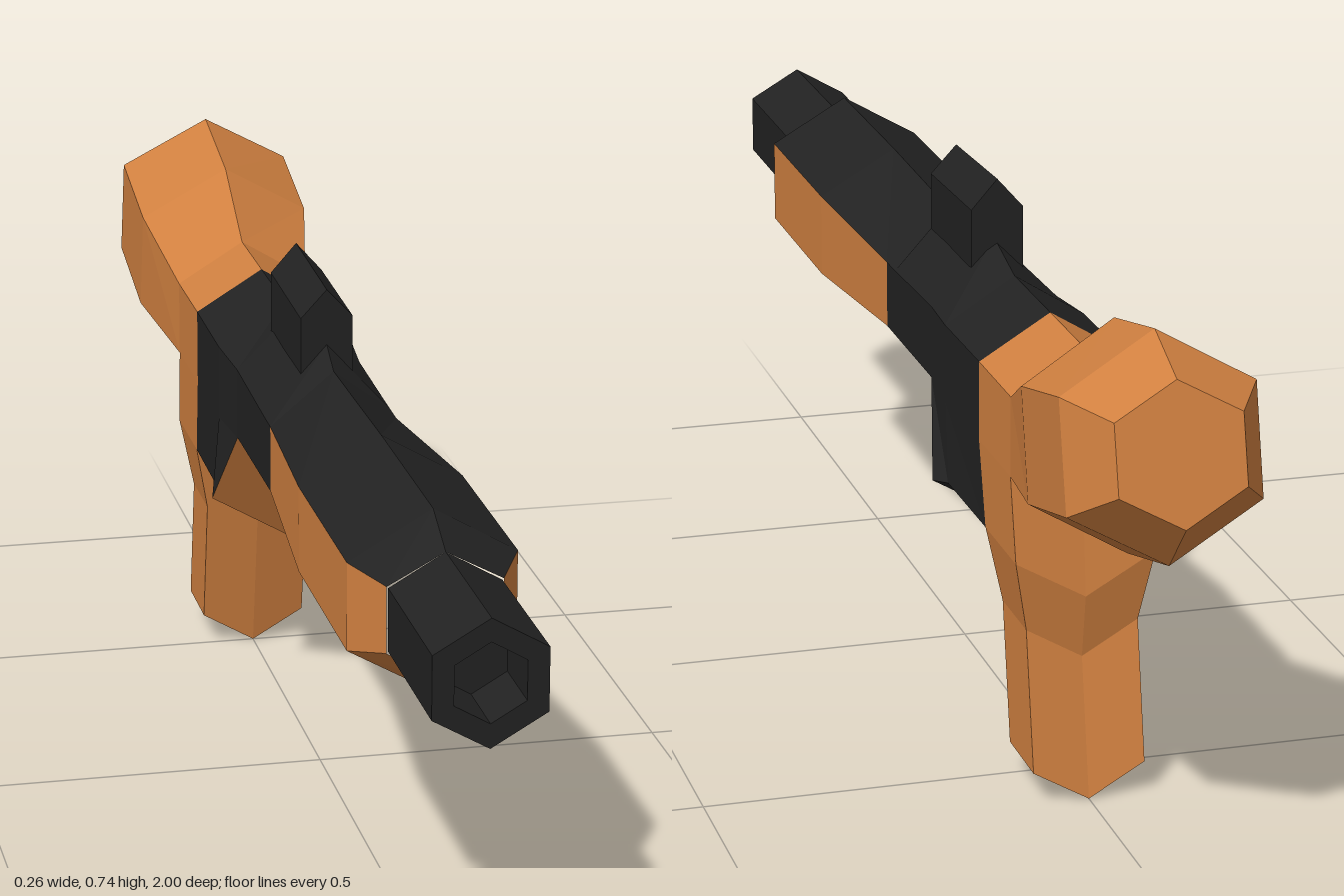
import * as THREE from 'three';

const material = (color) => new THREE.MeshStandardMaterial({ color, flatShading: true });
const black = material(0x222222);
const orange = material(0xd08040);

// Flat-shaded mesh from a list of quads (four corners, counter-clockwise)
function quadMesh(name, quads, mat) {
  const pos = [];
  for (const [a, b, c, d] of quads) pos.push(...a, ...b, ...c, ...a, ...c, ...d);
  const geo = new THREE.BufferGeometry();
  geo.setAttribute('position', new THREE.Float32BufferAttribute(pos, 3));
  geo.computeVertexNormals();
  const mesh = new THREE.Mesh(geo, mat);
  mesh.name = name;
  return mesh;
}

// Six-sided section with a point at top and bottom, tilted from zTop to zBottom
function hex(zTop, zBottom, yTop, yUpper, yLower, yBottom, w, wLower = w) {
  const z = (y) => zTop + ((zBottom - zTop) * (yTop - y)) / (yTop - yBottom);
  return [[0, yTop], [w, yUpper], [wLower, yLower], [0, yBottom], [-wLower, yLower], [-w, yUpper]]
    .map(([x, y]) => [x, y, z(y)]);
}

// Skin through sections ordered front to back; faces 0 and 5 are the top slopes
function loft(sections, faces = [0, 1, 2, 3, 4, 5], caps = true) {
  const quads = [];
  for (let i = 0; i + 1 < sections.length; i++) {
    for (const j of faces) {
      const k = (j + 1) % 6;
      quads.push([sections[i][j], sections[i][k], sections[i + 1][k], sections[i + 1][j]]);
    }
  }
  if (caps) {
    const f = sections[0], b = sections[sections.length - 1];
    quads.push([f[0], f[5], f[4], f[3]], [f[0], f[3], f[2], f[1]]);
    quads.push([b[0], b[1], b[2], b[3]], [b[0], b[3], b[4], b[5]]);
  }
  return quads;
}

// Downward extension with a V-shaped underside; each ring lists [z, w, ySide, yKeel] front to back
function keel(rings) {
  const front = [], rest = [];
  const p = ([z, w, ySide, yKeel], s) => (s ? [s * w, ySide, z] : [0, yKeel, z]);
  for (const s of [1, -1]) {
    const add = (list, ...q) => list.push(s > 0 ? q : q.reverse());
    for (let r = 0; r + 1 < rings.length; r++) {
      const T = rings[r], B = rings[r + 1], n = T.length - 1;
      for (let i = 0; i < n; i++) add(rest, p(T[i], s), p(B[i], s), p(B[i + 1], s), p(T[i + 1], s));
      add(front, p(T[0], 0), p(B[0], 0), p(B[0], s), p(T[0], s));
      add(rest, p(T[n], s), p(B[n], s), p(B[n], 0), p(T[n], 0));
    }
    const L = rings[rings.length - 1];
    for (let i = 0; i + 1 < L.length; i++) add(rest, p(L[i], 0), p(L[i + 1], 0), p(L[i + 1], s), p(L[i], s));
  }
  return { front, rest };
}

export function createModel() {
  const model = new THREE.Group();
  model.name = 'toyBlaster';

  // Barrel with a hollow muzzle
  model.add(quadMesh('barrel', loft([
    hex(0.9, 0.9, 0.56, 0.533, 0.48, 0.453, 0.046),
    hex(1, 1, 0.56, 0.533, 0.48, 0.453, 0.046),
    hex(1, 1, 0.591, 0.548, 0.463, 0.42, 0.074),
    hex(0.76, 0.76, 0.591, 0.548, 0.463, 0.42, 0.074),
  ]), black));

  // Fore-end: black top cover, orange hand guard below
  const foreEnd = [
    hex(0.76, 0.76, 0.591, 0.55, 0.46, 0.41, 0.076),
    hex(0.69, 0.69, 0.625, 0.56, 0.44, 0.376, 0.112),
    hex(0.39, 0.39, 0.625, 0.56, 0.44, 0.376, 0.112),
    hex(0.09, 0.09, 0.62, 0.545, 0.45, 0.4, 0.09),
  ];
  model.add(quadMesh('topCover', loft(foreEnd, [0, 5], false), black));
  model.add(quadMesh('handGuard', loft(foreEnd, [1, 2, 3, 4], false), orange));

  // Receiver with a raised ridge under the sight
  model.add(quadMesh('receiver', loft([
    foreEnd[3],
    hex(0.045, 0.045, 0.645, 0.546, 0.45, 0.4, 0.09),
    hex(-0.15, -0.15, 0.645, 0.553, 0.45, 0.4, 0.09),
    hex(-0.25, -0.25, 0.62, 0.558, 0.45, 0.4, 0.098),
    hex(-0.42, -0.42, 0.62, 0.56, 0.45, 0.4, 0.098),
  ]), black));

  // Lower receiver with an orange sloped front
  const lower = keel([
    [[-0.15, 0.09, 0.45, 0.4], [-0.25, 0.098, 0.45, 0.4], [-0.42, 0.098, 0.45, 0.4]],
    [[-0.235, 0.112, 0.33, 0.265], [-0.265, 0.098, 0.335, 0.28], [-0.445, 0.096, 0.335, 0.28]],
  ]);
  model.add(quadMesh('lowerReceiver', lower.rest, black));
  model.add(quadMesh('slopedFront', lower.front, orange));

  // Sight block
  model.add(quadMesh('sight', loft([
    hex(0.045, 0.045, 0.725, 0.685, 0.6, 0.59, 0.037),
    hex(-0.165, -0.165, 0.733, 0.691, 0.6, 0.59, 0.037),
  ]), black));

  // Shoulder stock
  model.add(quadMesh('stock', loft([
    hex(-0.42, -0.42, 0.62, 0.56, 0.45, 0.4, 0.098),
    hex(-0.57, -0.57, 0.62, 0.56, 0.45, 0.45, 0.098),
    hex(-0.7, -0.765, 0.7, 0.625, 0.478, 0.405, 0.127),
    hex(-0.865, -0.935, 0.737, 0.665, 0.52, 0.45, 0.128),
    hex(-0.955, -1, 0.7, 0.655, 0.565, 0.52, 0.083),
  ]), orange));

  // Pistol grip
  const grip = keel([
    [[-0.42, 0.098, 0.45, 0.4], [-0.57, 0.098, 0.45, 0.45]],
    [[-0.445, 0.096, 0.335, 0.28], [-0.59, 0.096, 0.335, 0.28]],
    [[-0.463, 0.077, 0.235, 0.19], [-0.575, 0.077, 0.235, 0.19]],
    [[-0.5, 0.077, 0.045, 0], [-0.612, 0.077, 0.045, 0]],
  ]);
  model.add(quadMesh('grip', [...grip.front, ...grip.rest], orange));

  return model;
}
